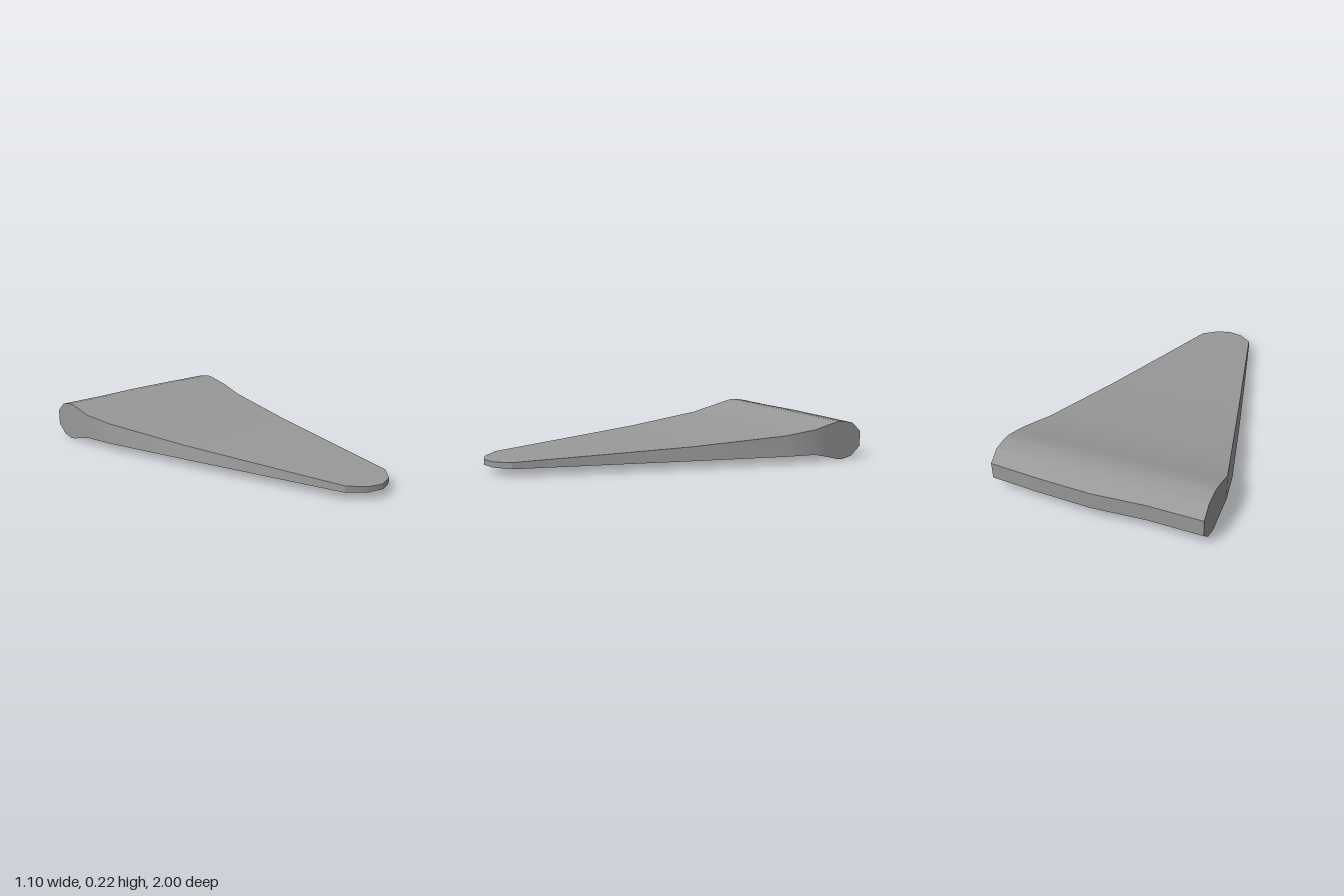
import * as THREE from 'three';
import { toCreasedNormals } from 'three/addons/utils/BufferGeometryUtils.js';

// Cross-sections from tip to heel: z, top half-width, bottom half-width, top y, bottom y, bow amount
const stations = [
  [1.0, 0, 0, 0.07, 0.042, 0],
  [0.975, 0.085, 0.085, 0.071, 0.042, 0],
  [0.9, 0.163, 0.165, 0.075, 0.042, 0],
  [0.45, 0.274, 0.282, 0.095, 0.042, 0],
  [0, 0.385, 0.398, 0.116, 0.042, 0],
  [-0.5, 0.507, 0.522, 0.153, 0.042, 0],
  [-0.67, 0.55, 0.55, 0.181, 0.042, 0],
  [-0.75, 0.55, 0.55, 0.201, 0.024, 0],
  [-0.82, 0.55, 0.55, 0.216, 0.006, 0],
  [-0.86, 0.55, 0.55, 0.214, 0.001, 0.2],
  [-0.935, 0.55, 0.55, 0.202, 0.015, 0.7],
  [-1.0, 0.55, 0.55, 0.15, 0.066, 1],
];
const columns = [-1, -0.5, 0, 0.5, 1];
const bow = [0.022, 0.022, 0, 0.007, 0.022]; // slight curve of the heel across its width

function wedgeGeometry() {
  const n = columns.length, ring = n * 2;
  const positions = [], index = [];
  for (const [z, topW, bottomW, topY, bottomY, k] of stations) {
    for (let j = 0; j < n; j++) positions.push(columns[j] * topW, topY, z + bow[j] * k);
    for (let j = n - 1; j >= 0; j--) positions.push(columns[j] * bottomW, bottomY, z + bow[j] * k);
  }
  const quad = (a, b, c, d) => index.push(a, b, c, a, c, d);
  // Skin between neighbouring sections
  for (let i = 0; i < stations.length - 1; i++) {
    for (let j = 0; j < ring; j++) {
      const a = i * ring + j, b = i * ring + (j + 1) % ring;
      quad(a, b, b + ring, a + ring);
    }
  }
  // Heel face
  const last = (stations.length - 1) * ring;
  for (let j = 0; j < n - 1; j++) {
    quad(last + j, last + j + 1, last + ring - 2 - j, last + ring - 1 - j);
  }
  const geometry = new THREE.BufferGeometry();
  geometry.setAttribute('position', new THREE.Float32BufferAttribute(positions, 3));
  geometry.setIndex(index);
  return toCreasedNormals(geometry, THREE.MathUtils.degToRad(31));
}

export function createModel() {
  const group = new THREE.Group();
  group.name = 'doorWedge';
  const wedge = new THREE.Mesh(wedgeGeometry(), new THREE.MeshStandardMaterial({ color: 0x999999 }));
  wedge.name = 'wedgeBody';
  group.add(wedge);
  return group;
}
